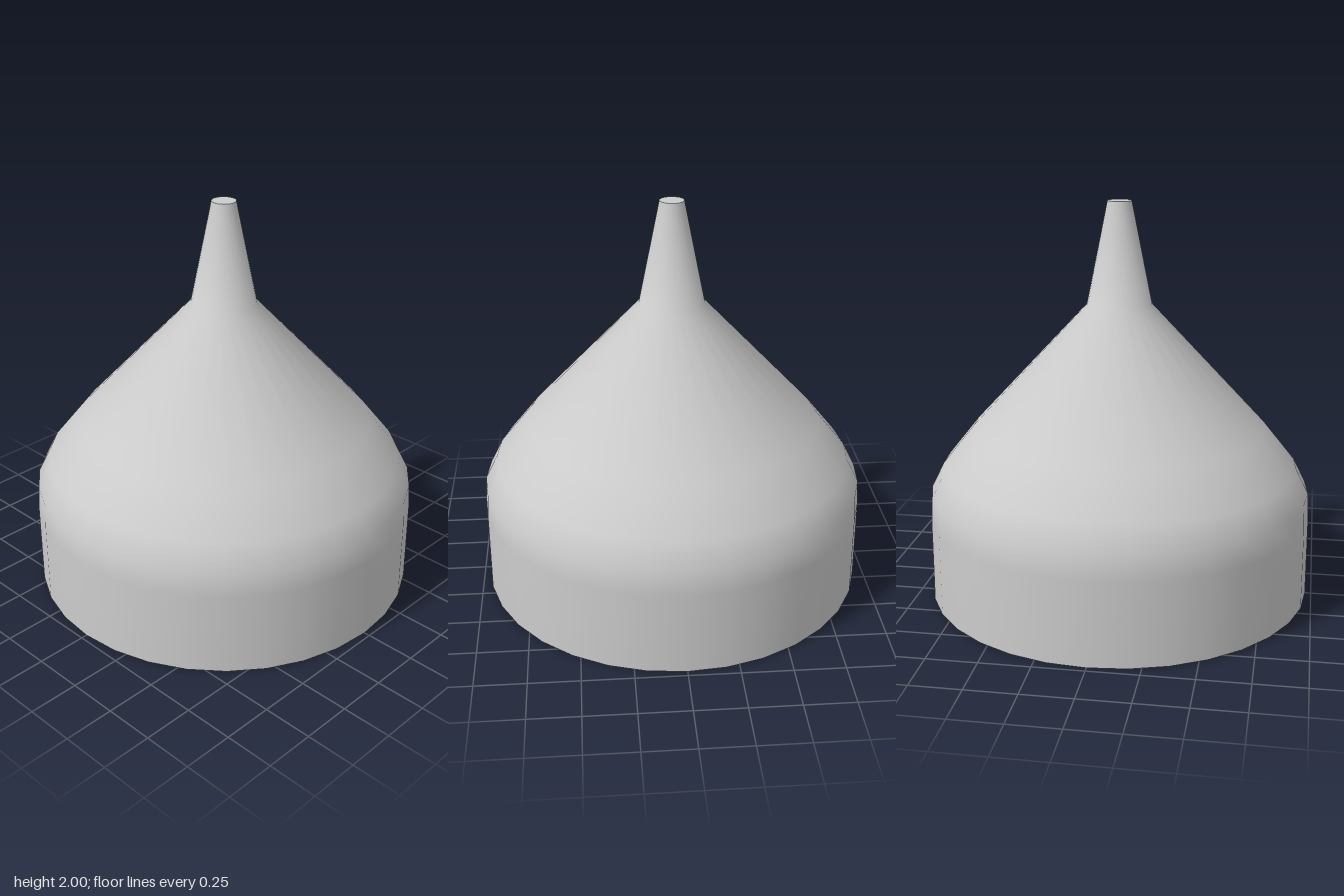
import * as THREE from 'three';

const SEGMENTS = 32;

export function createModel() {
  const model = new THREE.Group();
  const material = new THREE.MeshStandardMaterial({ color: 0xcccccc, side: THREE.DoubleSide });

  const addPart = (name, geometry) => {
    const mesh = new THREE.Mesh(geometry, material);
    mesh.name = name;
    model.add(mesh);
    return mesh;
  };

  // Thin open shell: straight collar, rounded shoulder, cone and tapered spout
  const profile = [
    [0.97, 0], [0.97, 0.42], [0.963, 0.545], [0.9, 0.67],
    [0.74, 0.87], [0.163, 1.49], [0.06, 2],
  ].map(([radius, y]) => new THREE.Vector2(radius, y));
  addPart('funnelShell', new THREE.LatheGeometry(profile, SEGMENTS));

  // Flat disc closing the spout tip
  const tip = new THREE.CircleGeometry(0.06, SEGMENTS).rotateX(-Math.PI / 2);
  addPart('spoutCap', tip).position.y = 2;

  return model;
}
